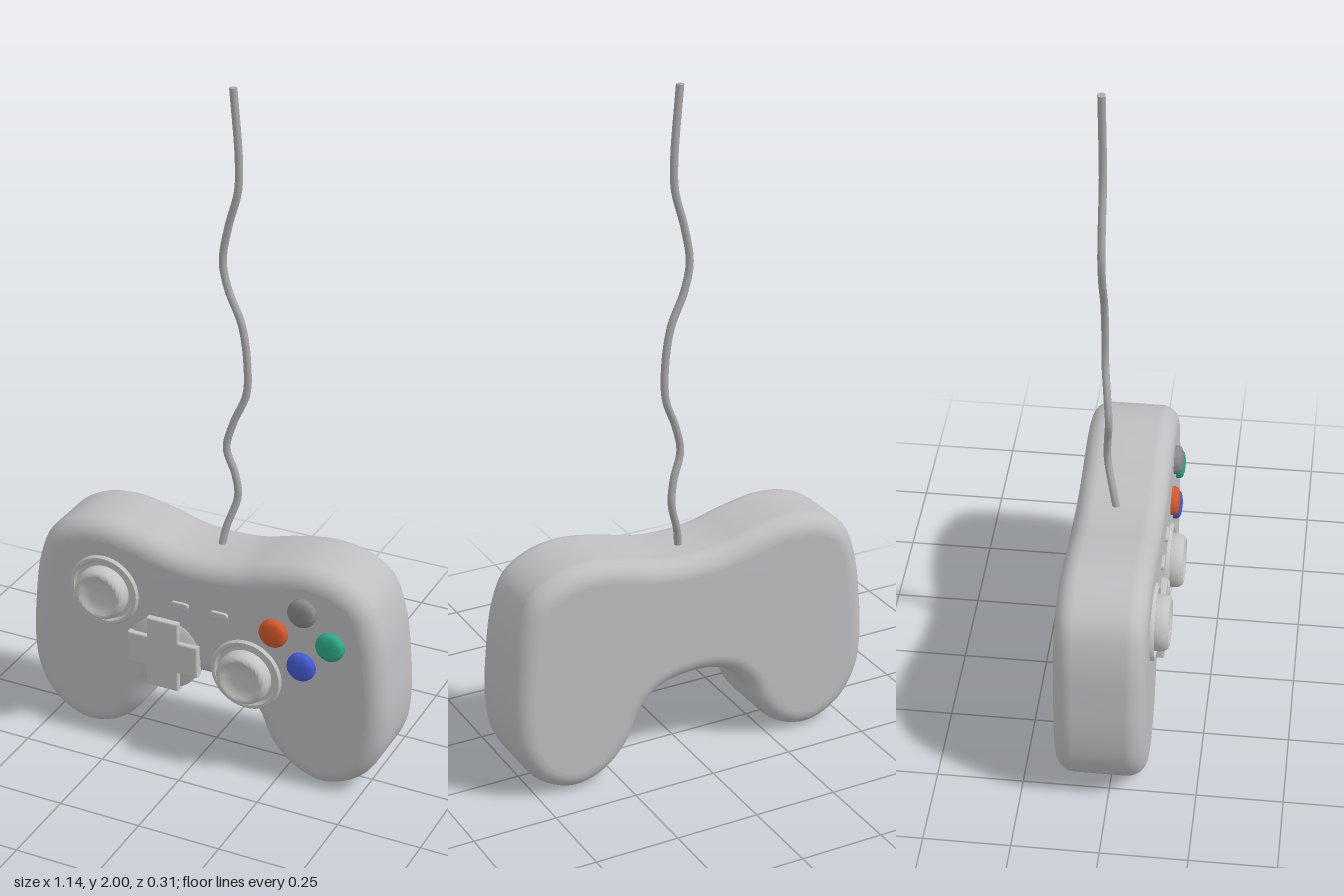
import * as THREE from 'three';
import { mergeVertices, toCreasedNormals } from 'three/addons/utils/BufferGeometryUtils.js';

const material = (name, color) => {
  const m = new THREE.MeshStandardMaterial({ color });
  m.name = name;
  return m;
};

export function createModel() {
  const shell = material('shell grey', 0xbebec0);
  const control = material('control grey', 0xc4c4c2);
  const cord = material('cord grey', 0xaaaaac);

  const model = new THREE.Group();
  model.name = 'gameController';

  const add = (name, geometry, mat, x = 0, y = 0, z = 0) => {
    const mesh = new THREE.Mesh(geometry, mat);
    mesh.name = name;
    mesh.position.set(x, y, z);
    model.add(mesh);
    return mesh;
  };

  // Turned part whose axis points forward; profile is [radius, depth] from back to front
  const turned = (profile, crease = 0.7) => {
    const lathe = new THREE.LatheGeometry(profile.map(([r, h]) => new THREE.Vector2(r, h)), 48);
    return toCreasedNormals(lathe.rotateX(Math.PI / 2), crease);
  };

  // Body: mirrored smooth outline, extruded with a round edge
  const half = [
    [0.1, 0.651], [0.2, 0.677], [0.32, 0.695], [0.42, 0.679], [0.5, 0.627], [0.541, 0.53],
    [0.561, 0.39], [0.568, 0.25], [0.552, 0.145], [0.49, 0.05], [0.385, 0.003], [0.285, 0.03],
    [0.21, 0.105], [0.165, 0.2], [0.1, 0.255],
  ];
  const point = ([x, y]) => new THREE.Vector3(x, y, 0);
  const outline = new THREE.CatmullRomCurve3([
    point([0, 0.643]), ...half.map(point), point([0, 0.272]),
    ...half.map(([x, y]) => point([-x, y])).reverse(),
  ], true);
  const bodyShape = new THREE.Shape(
    outline.getSpacedPoints(160).slice(0, -1).map((p) => new THREE.Vector2(p.x, p.y)));
  const round = 0.055;
  let body = new THREE.ExtrudeGeometry(bodyShape, {
    depth: 0.26 - 2 * round, bevelThickness: round, bevelSize: round, bevelOffset: -round,
    bevelSegments: 8,
  });
  body.deleteAttribute('uv');
  body.deleteAttribute('normal');
  body = mergeVertices(body, 1e-5);
  body.computeVertexNormals();
  add('body', body, shell, 0, 0, -0.155 + round);

  // Thumbsticks with their collars
  const collar = turned([[0, 0.07], [0.11, 0.07], [0.11, 0.111], [0.106, 0.116], [0.097, 0.116],
    [0.091, 0.109], [0, 0.109]]);
  const stick = turned([[0.078, 0.1], [0.081, 0.118], [0.081, 0.132], [0.078, 0.143],
    [0.072, 0.151], [0.066, 0.154], [0.061, 0.153], [0.055, 0.147], [0.03, 0.144], [0, 0.143]]);
  for (const [side, x, y] of [['right', -0.308, 0.485], ['left', 0.146, 0.322]]) {
    add(side + 'StickCollar', collar, control, x, y);
    add(side + 'Thumbstick', stick, control, x, y);
  }

  // Direction pad on a round base
  const [padX, padY, arm, wide] = [-0.115, 0.325, 0.112, 0.05];
  add('directionPadBase', turned([[0, 0.06], [0.114, 0.06], [0.114, 0.106], [0.11, 0.109], [0, 0.109]]),
    control, padX, padY);
  const cross = new THREE.Shape([
    [wide, arm], [-wide, arm], [-wide, wide], [-arm, wide], [-arm, -wide], [-wide, -wide],
    [-wide, -arm], [wide, -arm], [wide, -wide], [arm, -wide], [arm, wide], [wide, wide],
  ].map(([x, y]) => new THREE.Vector2(x, y)));
  add('directionPad', new THREE.ExtrudeGeometry(cross, {
    depth: 0.022, bevelThickness: 0.004, bevelSize: 0.004, bevelOffset: -0.004, bevelSegments: 2,
  }), control, padX, padY, 0.097);

  // Four domed action buttons
  const button = turned([[0.043, 0.09], [0.043, 0.114], [0.041, 0.12], [0.035, 0.125],
    [0.024, 0.128], [0.012, 0.1295], [0, 0.13]]);
  const buttons = [
    ['top', 0, 1, material('button grey', 0x88878b)],
    ['outer', 1, 0, material('button green', 0x2fa787)],
    ['bottom', 0, -1, material('button blue', 0x4459d2)],
    ['inner', -1, 0, material('button orange', 0xd2582a)],
  ];
  for (const [name, dx, dy, mat] of buttons) {
    add(name + 'Button', button, mat, 0.318 + dx * 0.087, 0.482 + dy * 0.087);
  }

  // Two small pill buttons in the middle
  const pill = new THREE.Shape();
  pill.absarc(0.018, 0, 0.01, -Math.PI / 2, Math.PI / 2);
  pill.absarc(-0.018, 0, 0.01, Math.PI / 2, Math.PI * 1.5);
  const pillGeometry = new THREE.ExtrudeGeometry(pill, {
    depth: 0.014, bevelThickness: 0.003, bevelSize: 0.003, bevelOffset: -0.003, bevelSegments: 2,
  });
  for (const [name, x] of [['select', -0.064], ['start', 0.06]]) {
    add(name + 'Button', pillGeometry, control, x, 0.495, 0.096);
  }

  // Wavy cable with a capped end
  const path = new THREE.CatmullRomCurve3([
    [-0.003, 0.61, -0.03], [0.008, 0.69, -0.045], [0.036, 0.79, -0.064], [0.028, 0.86, -0.062],
    [0.004, 0.94, -0.056], [0.022, 1.02, -0.062], [0.057, 1.11, -0.071], [0.06, 1.2, -0.071],
    [0.042, 1.32, -0.071], [0, 1.42, -0.071], [-0.016, 1.5, -0.071], [0, 1.6, -0.071],
    [0.029, 1.71, -0.071], [0.031, 1.8, -0.071], [0.014, 1.999, -0.071],
  ].map((p) => new THREE.Vector3(...p)));
  add('cable', new THREE.TubeGeometry(path, 120, 0.011, 12), cord);
  add('cableEnd', new THREE.CircleGeometry(0.011, 12).rotateX(-Math.PI / 2), cord, 0.014, 1.999, -0.071);

  return model;
}
